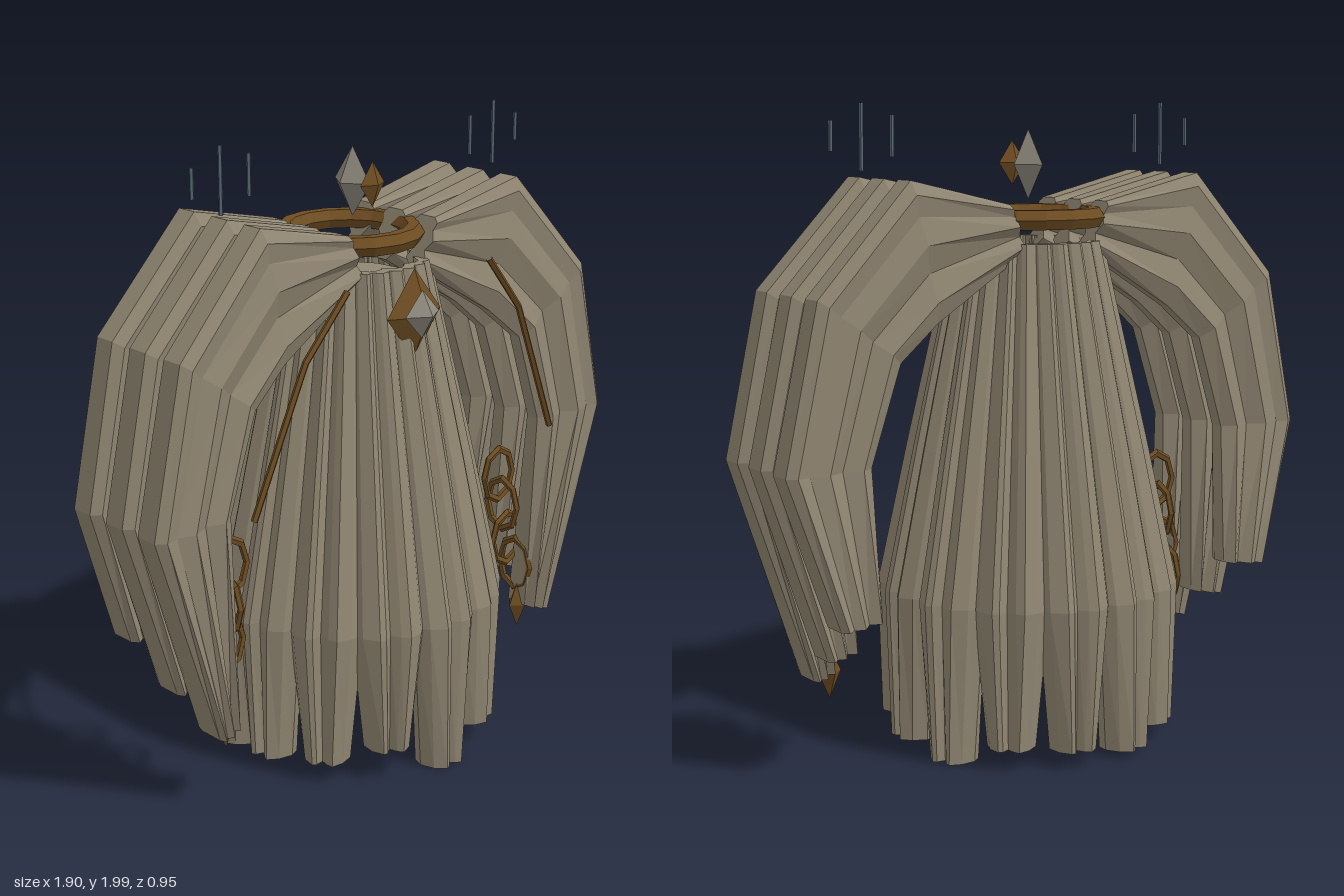
import * as THREE from 'three';

const mat = (name, color, side = THREE.FrontSide) => {
  const m = new THREE.MeshStandardMaterial({ color, flatShading: true, side });
  m.name = name;
  return m;
};
const V = (x, y, z) => new THREE.Vector3(x, y, z);
const lerp = THREE.MathUtils.lerp;

// Closed loft through rings of equal length, with fan caps at both ends
function loft(rings) {
  const pos = [];
  const tri = (a, b, c) => [a, b, c].forEach(p => pos.push(p.x, p.y, p.z));
  const n = rings[0].length;
  for (let i = 0; i < rings.length - 1; i++) {
    for (let j = 0; j < n; j++) {
      const k = (j + 1) % n, a = rings[i], b = rings[i + 1];
      tri(a[j], b[j], b[k]);
      tri(a[j], b[k], a[k]);
    }
  }
  [rings[0], rings[rings.length - 1]].forEach((r, e) => {
    const c = r.reduce((s, p) => s.add(p), V(0, 0, 0)).divideScalar(n);
    r.forEach((p, j) => {
      const q = r[(j + 1) % n];
      if (e) tri(c, q, p); else tri(c, p, q);
    });
  });
  const g = new THREE.BufferGeometry();
  g.setAttribute('position', new THREE.Float32BufferAttribute(pos, 3));
  g.computeVertexNormals();
  return g;
}

export function createModel() {
  const cloth = mat('cloth', 0x908672, THREE.DoubleSide);
  const bronze = mat('bronze', 0x6e4d22);
  const stone = mat('grey stone', 0x8e887c);
  const steel = mat('blue steel', 0x566874);

  const model = new THREE.Group();
  model.name = 'hangingRobe';
  const add = (name, geo, material, x = 0, y = 0, z = 0, parent = model) => {
    const m = new THREE.Mesh(geo, material);
    m.name = name;
    m.position.set(x, y, z);
    parent.add(m);
    return m;
  };
  const crystal = (name, material, size, at, parent) => {
    const m = add(name, new THREE.OctahedronGeometry(1), material, ...at, parent);
    m.scale.set(...size);
    return m;
  };

  // Skirt: thirteen pleated panels around the body, hanging free at the hem
  const skirt = new THREE.Group();
  skirt.name = 'skirt';
  model.add(skirt);
  const count = 13;
  const hems = [0.01, 0.08, 0.07, 0.04, 0.01, 0.07, 0.06, 0.03, 0.06, 0.02, 0.05, 0.07, 0.11];
  // pleat outline: [sideways, depth], outer face then inner face
  const outer = [[-1, -0.075], [-0.8, -0.03], [-0.4, 0], [-0.22, -0.005], [-0.05, -0.03],
    [0.2, -0.01], [0.45, 0], [0.8, -0.03], [1, -0.075]];
  const pleat = [...outer, ...outer.map(([u, d]) => [u * 0.85, d - 0.035]).reverse()];
  for (let i = 0; i < count; i++) {
    const a = (i / count) * Math.PI * 2;
    const levels = [[1.58, 0.235, 0.06], [0.95, 0.378, 0.094], [0.5, 0.475, 0.116], [hems[i], 0.465, 0.075]];
    const rings = levels.map(([y, R, w], l) => pleat.map(([u, d]) => {
      const r = R + d * (l === 3 ? 1 : w / 0.11);
      const s = u * w;
      return V(r * Math.sin(a) + s * Math.cos(a), y, r * Math.cos(a) - s * Math.sin(a));
    }));
    add('skirtPanel', loft(rings), cloth, 0, 0, 0, skirt);
  }
  // Plain lining that closes the neck
  add('lining', new THREE.CylinderGeometry(0.165, 0.34, 0.95, 13), cloth, 0, 1.045, 0, skirt);

  // Sleeves: three pleated strips per side, lofted from outer edge to inner edge
  const rib = [[0, 0.35], [0.15, 0.85], [0.35, 0.5], [0.55, 1], [0.75, 0.75], [0.9, 0.95], [1, 0.6]];
  const section = [...rib, ...rib.map(([t, s]) => [t, -s]).reverse()];
  // [outer x, outer y, inner x, inner y, half width]
  const stations = [
    [0.18, 1.70, 0.12, 1.55, 0.05],
    [0.53, 1.78, 0.43, 1.36, 0.058],
    [0.84, 1.45, 0.56, 1.25, 0.06],
    [0.95, 0.95, 0.66, 0.95, 0.064],
    [0.72, 0.25, 0.645, 0.27, 0.072],
  ];
  const strips = [
    { z: [0.14, 0.15, 0.165, 0.165, 0.145], len: 1 },
    { z: [0.0, 0.005, 0.01, 0.015, -0.01], len: 0.85 },
    { z: [-0.14, -0.145, -0.145, -0.14, -0.175], len: 0.66 },
  ];
  for (const side of [1, -1]) {
    const sleeve = new THREE.Group();
    sleeve.name = side > 0 ? 'leftSleeve' : 'rightSleeve';
    model.add(sleeve);
    for (const { z, len } of strips) {
      const rings = stations.map((st, i) => {
        const prev = stations[Math.max(i - 1, 0)];
        const k = i === 4 ? len : 1;
        const [ox, oy, ix, iy, w] = st.map((v, j) => lerp(prev[j], v, k));
        const ring = section.map(([t, s]) => V(side * lerp(ix, ox, t), lerp(iy, oy, t), z[i] + s * w));
        return side > 0 ? ring.reverse() : ring;
      });
      add('sleeveStrip', loft(rings), cloth, 0, 0, 0, sleeve);
    }

    // Bronze cord draped over the front of the shoulder
    const cord = new THREE.CurvePath();
    const pts = [V(0.295, 1.575, 0.29), V(0.45, 1.39, 0.28), V(0.635, 0.95, 0.262)];
    pts.forEach(p => { p.x *= side; });
    cord.add(new THREE.LineCurve3(pts[0], pts[1]));
    cord.add(new THREE.LineCurve3(pts[1], pts[2]));
    add('shoulderCord', new THREE.TubeGeometry(cord, 12, 0.011, 5, false), bronze);

    // Chain of alternating links with a pendant
    const chain = new THREE.Group();
    chain.name = 'sleeveChain';
    model.add(chain);
    [[0.587, 0.742, 0.085], [0.605, 0.632, 0.09], [0.62, 0.508, 0.1], [0.655, 0.408, 0.11]].forEach(([x, y, z], i) => {
      const link = add('chainLink', new THREE.TorusGeometry(0.068, 0.011, 5, 8), bronze, side * x, y, z, chain);
      link.scale.y = 1.32;
      link.rotation.y = i % 2 ? Math.PI / 2 : 0;
    });
    crystal('chainPendant', bronze, [0.04, 0.085, 0.035], [side * 0.652, 0.265, 0.13], chain);

    // Thin rods floating above the shoulder
    [[0.455, 1.84, 1.965], [0.56, 1.80, 2.0], [0.663, 1.86, 1.95]].forEach(([x, y0, y1]) => {
      add('floatingRod', new THREE.CylinderGeometry(0.007, 0.007, y1 - y0, 5), steel, side * x, (y0 + y1) / 2, 0.05);
    });
  }

  // Collar ring
  const collar = add('collar', new THREE.TorusGeometry(0.198, 0.034, 6, 16), bronze, 0, 1.652, -0.02);
  collar.rotation.x = Math.PI / 2;

  // Brooch on the chest
  crystal('broochSetting', bronze, [0.112, 0.14, 0.06], [0, 1.45, 0.265]);
  crystal('broochGem', stone, [0.07, 0.075, 0.045], [0, 1.455, 0.3]);

  // Crystals floating over the neck
  crystal('floatingCrystal', stone, [0.053, 0.108, 0.078], [0, 1.812, -0.005]);
  crystal('floatingShard', bronze, [0.05, 0.07, 0.026], [0, 1.815, 0.083]);

  return model;
}
